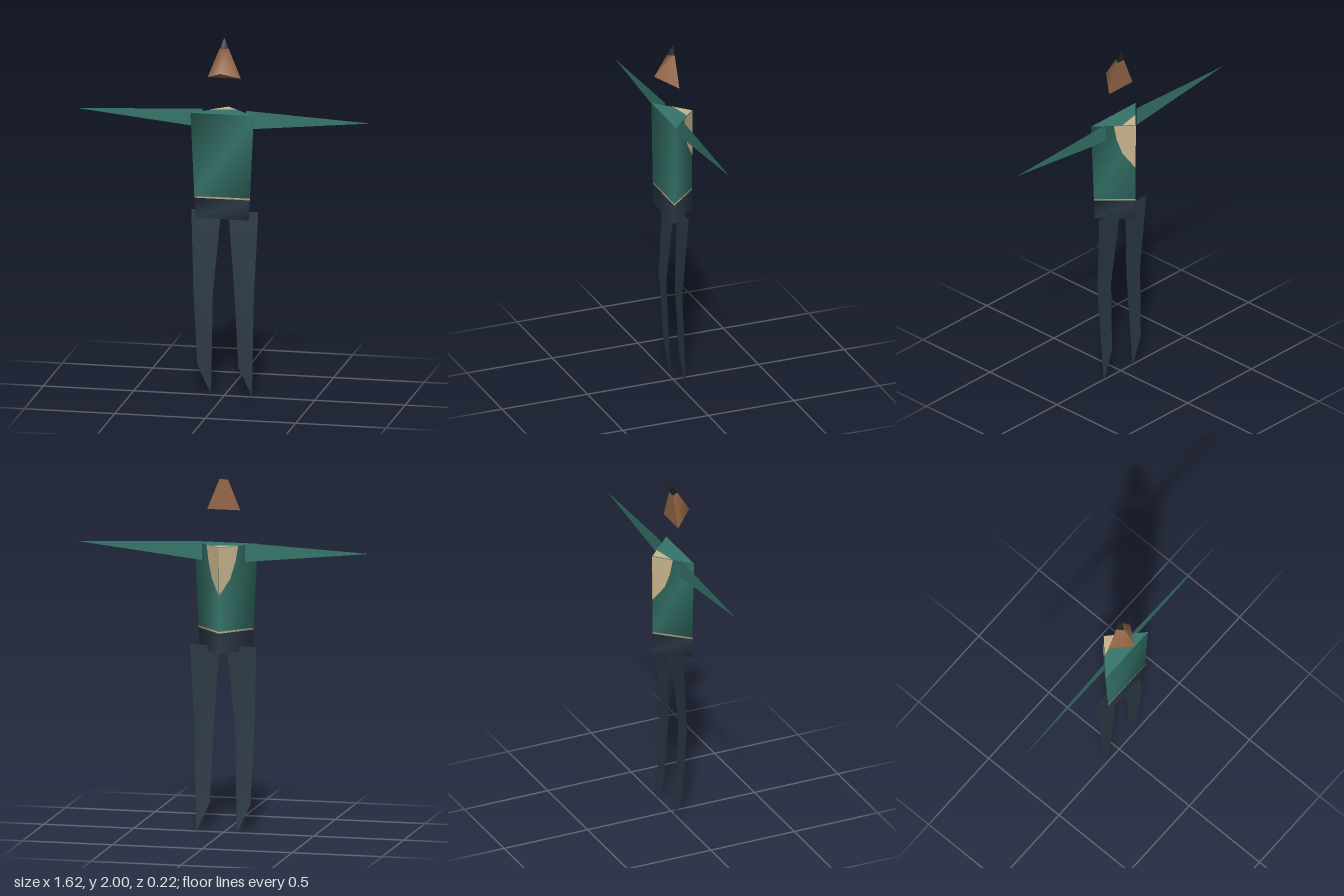
import * as THREE from 'three';

const paint = (name, color) => new THREE.MeshStandardMaterial({ name, color, side: THREE.DoubleSide });

// Mesh from a few corner points and triangles; shared corners give smooth normals
function surface(name, points, faces, material) {
  const geometry = new THREE.BufferGeometry();
  geometry.setAttribute('position', new THREE.Float32BufferAttribute(points.flat(), 3));
  geometry.setIndex(faces.flat());
  geometry.computeVertexNormals();
  const mesh = new THREE.Mesh(geometry, material);
  mesh.name = name;
  return mesh;
}

// Convex polygon as a fan
const polygon = (name, points, material) =>
  surface(name, points, points.slice(2).map((_, i) => [0, i + 1, i + 2]), material);

// Triangular tube between two rings of three points
function tube(name, low, high, material) {
  const faces = [];
  for (let i = 0; i < 3; i++) {
    const j = (i + 1) % 3;
    faces.push([i, j, j + 3], [i, j + 3, i + 3]);
  }
  return surface(name, [...low, ...high], faces, material);
}

export function createModel() {
  const teal = paint('teal shirt', 0x35756a);
  const navy = paint('navy trousers', 0x2c3a47);
  const tan = paint('tan trim', 0xc8b48e);
  const skin = paint('brown skin', 0x966747);
  const hair = paint('dark hair', 0x20262b);
  const model = new THREE.Group();
  model.name = 'figure';

  // Torso: wedge with a flat front and a ridge down the back
  const torso = new THREE.Group();
  torso.name = 'torso';
  const FRONT = 0.055, BACK = -0.11, TOP = 1.585;
  const halfWidth = y => THREE.MathUtils.mapLinear(y, 1, TOP, 0.148, 0.175);
  const ring = y => [[-halfWidth(y), y, FRONT], [halfWidth(y), y, FRONT], [0, y, BACK]];
  torso.add(
    tube('waist', ring(1), ring(1.112), navy),
    tube('hemStripe', ring(1.112), ring(1.122), tan),
    tube('shirt', ring(1.122), ring(TOP), teal),
    polygon('torsoBottom', ring(1).reverse(), navy),
    polygon('torsoTop', ring(TOP), teal),
  );

  // Tan patch on the upper back; t runs from the back ridge to the front corner
  const onBack = (side, t, y, out = 0.002) =>
    [side * (halfWidth(y) * t + out), y, BACK + (FRONT - BACK) * t - out];
  const edge = [[0.49, TOP], [0.43, 1.5], [0.3, 1.41], [0, 1.32]];
  for (const side of [-1, 1]) {
    const points = [[0, TOP, BACK - 0.003], ...edge.map(([t, y]) => onBack(side, t, y))];
    if (side > 0) points.reverse();
    // Reversed on one side so both halves face outward
    torso.add(polygon(side > 0 ? 'leftBackPatch' : 'rightBackPatch', points.reverse(), tan));
  }
  const lift = p => [p[0], TOP + 0.002, p[2]];
  torso.add(polygon('topPatch', [
    lift([0, TOP, BACK]), lift(onBack(-1, 0.46, TOP, 0)), lift(onBack(1, 0.3, TOP, 0)),
  ], tan));
  model.add(torso);

  // Head: pointed wedge, cut level where the hair begins
  const head = new THREE.Group();
  head.name = 'head';
  const crown = [0, 2, 0];
  const jaw = [[-0.092, 1.775, 0], [0, 1.825, 0.11], [0.092, 1.775, 0]];
  const hairline = jaw.map(p => {
    const k = (2 - 1.942) / (2 - p[1]);
    return p.map((v, i) => crown[i] + (v - crown[i]) * k);
  });
  head.add(
    surface('face', [...jaw, ...hairline], [[0, 1, 4], [0, 4, 3], [1, 2, 5], [1, 5, 4]], skin),
    polygon('headBack', [jaw[2], jaw[0], hairline[0], hairline[2]], skin),
    polygon('chin', [jaw[2], jaw[1], jaw[0]], skin),
    surface('hairFront', [...hairline, crown], [[0, 1, 3], [1, 2, 3]], hair),
    polygon('hairBack', [hairline[2], hairline[0], crown], hair),
  );
  model.add(head);

  // Arms: flat tapering blades
  for (const side of [-1, 1]) {
    const points = [[side * 0.12, 1.597, -0.003], [side * 0.12, 1.493, -0.003], [side * 0.81, 1.565, 0.006]];
    if (side < 0) points.reverse();
    model.add(polygon(side > 0 ? 'leftArm' : 'rightArm', points, teal));
  }

  // Legs: thin strips bent slightly at the knee; both feet slant the same way
  const legs = {
    leftLeg: [[0.02, 1.03, 0.185, 1.03], [0.06, 0.57, 0.167, 0.57], [0.076, 0.16, 0.15, 0]],
    rightLeg: [[-0.185, 1.03, -0.02, 1.03], [-0.167, 0.57, -0.06, 0.57], [-0.15, 0.16, -0.076, 0]],
  };
  const bend = y => 0.015 - 0.03 * Math.abs(y - 0.57) / (y > 0.57 ? 0.46 : 0.57);
  for (const [name, rows] of Object.entries(legs)) {
    const points = rows.flatMap(([xa, ya, xb, yb]) => [[xa, ya, bend(ya)], [xb, yb, bend(yb)]]);
    const faces = [0, 2].flatMap(i => [[i, i + 2, i + 3], [i, i + 3, i + 1]]);
    model.add(surface(name, points, faces, navy));
  }
  return model;
}
